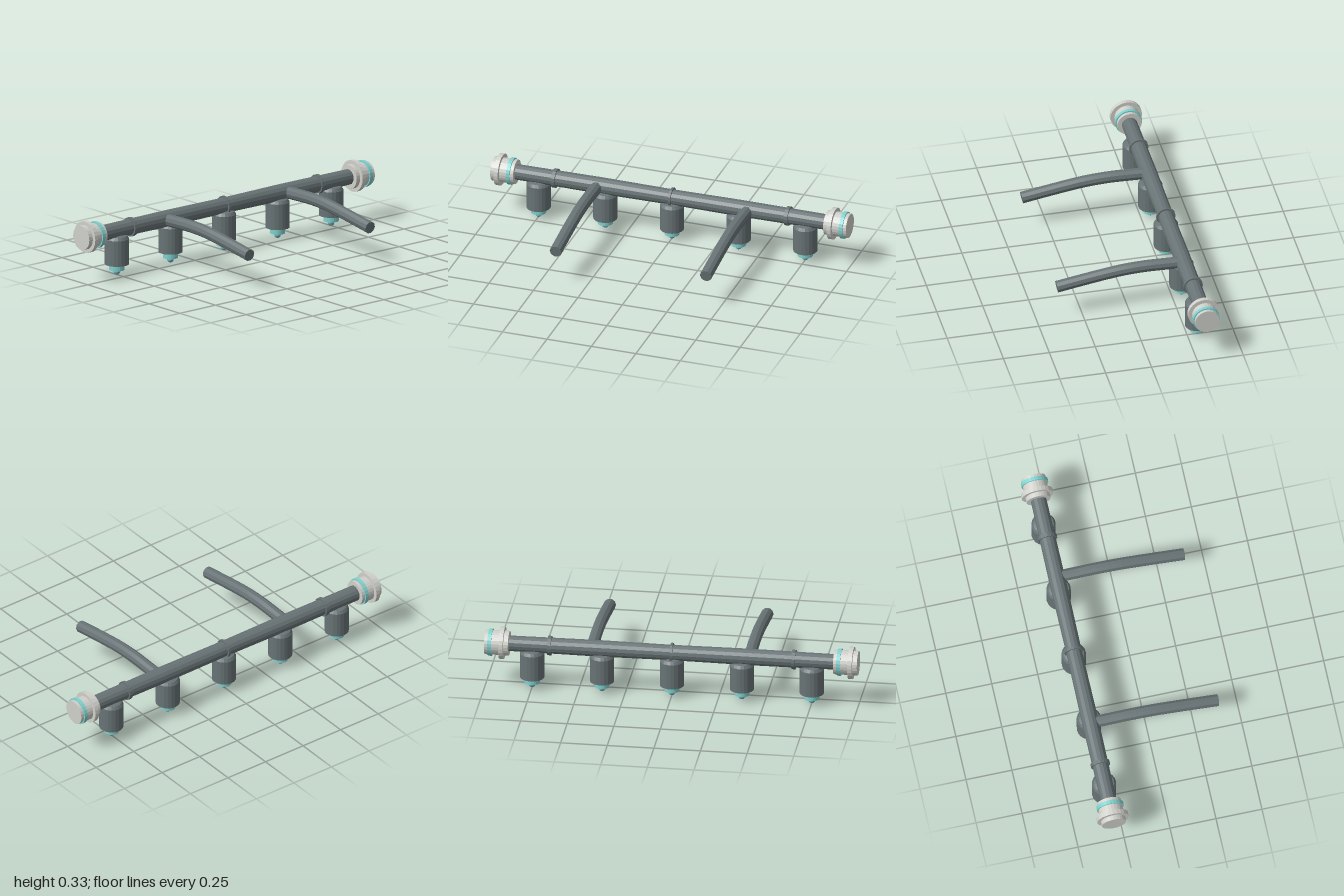
import * as THREE from 'three';

const BAR_Y = 0.247, BAR_Z = -0.304;

const material = (name, color, flatShading = false) => {
  const m = new THREE.MeshStandardMaterial({ color, flatShading });
  m.name = name;
  return m;
};

export function createModel() {
  const model = new THREE.Group();
  model.name = 'sprayBar';
  const grey = material('darkGrey', 0x687375, true);
  const pale = material('paleGrey', 0xcfd0ca, true);
  const teal = material('teal', 0x7fd2cf, true);
  const blue = material('tipBlue', 0x6fb4bc, true);

  const add = (parent, name, geometry, mat, x = 0, y = 0, z = 0) => {
    const mesh = new THREE.Mesh(geometry, mat);
    mesh.name = name;
    mesh.position.set(x, y, z);
    parent.add(mesh);
    return mesh;
  };

  // Disc or drum lying along x, spanning x0 to x1
  const drum = (parent, name, r, x0, x1, mat, sides = 24) => {
    const g = new THREE.CylinderGeometry(r, r, x1 - x0, sides).rotateZ(-Math.PI / 2);
    return add(parent, name, g, mat, (x0 + x1) / 2, 0, 0);
  };

  // Main pipe, very slightly fuller between the centre and the ends
  const pipe = new THREE.Group();
  pipe.name = 'mainPipe';
  pipe.position.set(0, BAR_Y, BAR_Z);
  model.add(pipe);
  const profile = [[0, -0.89], [0.042, -0.89], [0.045, -0.4], [0.042, 0], [0.045, 0.4], [0.042, 0.89], [0, 0.89]]
    .map(([r, y]) => new THREE.Vector2(r, y));
  add(pipe, 'pipe', new THREE.LatheGeometry(profile, 14).rotateZ(-Math.PI / 2), grey);
  for (const [x, w] of [[-0.655, 0.02], [0, 0.013], [0.655, 0.02]]) {
    drum(pipe, 'collar', 0.052, x - w / 2, x + w / 2, grey, 16);
  }

  // End couplings, both facing the same way
  for (const x of [-1, 0.872]) {
    const coupling = new THREE.Group();
    coupling.name = 'endCoupling';
    coupling.position.x = x;
    pipe.add(coupling);
    drum(coupling, 'couplingBody', 0.066, 0, 0.128, pale);
    drum(coupling, 'flange', 0.086, 0.025, 0.049, pale);
    drum(coupling, 'sealRing', 0.073, 0.09, 0.11, teal);
  }

  // Nozzles hanging below the pipe
  for (const x of [-0.75, -0.375, 0, 0.375, 0.75]) {
    const nozzle = new THREE.Group();
    nozzle.name = 'nozzle';
    nozzle.position.set(x, 0, BAR_Z);
    model.add(nozzle);
    const body = [[0, 0.06], [0.065, 0.06], [0.065, 0.2], [0.055, 0.216], [0, 0.23]]
      .map(([r, y]) => new THREE.Vector2(r, y));
    add(nozzle, 'nozzleBody', new THREE.LatheGeometry(body, 20), grey);
    add(nozzle, 'nozzleRing', new THREE.CylinderGeometry(0.041, 0.041, 0.034, 20), teal, 0, 0.045, 0);
    add(nozzle, 'nozzleTip', new THREE.SphereGeometry(0.018, 12, 8), blue, 0, 0.018, 0);
  }

  // Curved support arms reaching forward
  const path = new THREE.CatmullRomCurve3(
    [[0.246, -0.3], [0.248, -0.22], [0.251, -0.1], [0.246, 0.02], [0.234, 0.12], [0.214, 0.25], [0.191, 0.387]]
      .map(([y, z]) => new THREE.Vector3(0, y, z)));
  const end = path.getPoint(1), dir = path.getTangent(1);
  for (const x of [-0.415, 0.43]) {
    const arm = new THREE.Group();
    arm.name = 'supportArm';
    arm.position.x = x;
    model.add(arm);
    add(arm, 'armTube', new THREE.TubeGeometry(path, 20, 0.033, 10), grey);
    const cap = add(arm, 'armEnd', new THREE.CircleGeometry(0.033, 10), grey, end.x, end.y, end.z);
    cap.quaternion.setFromUnitVectors(new THREE.Vector3(0, 0, 1), dir);
  }
  return model;
}
